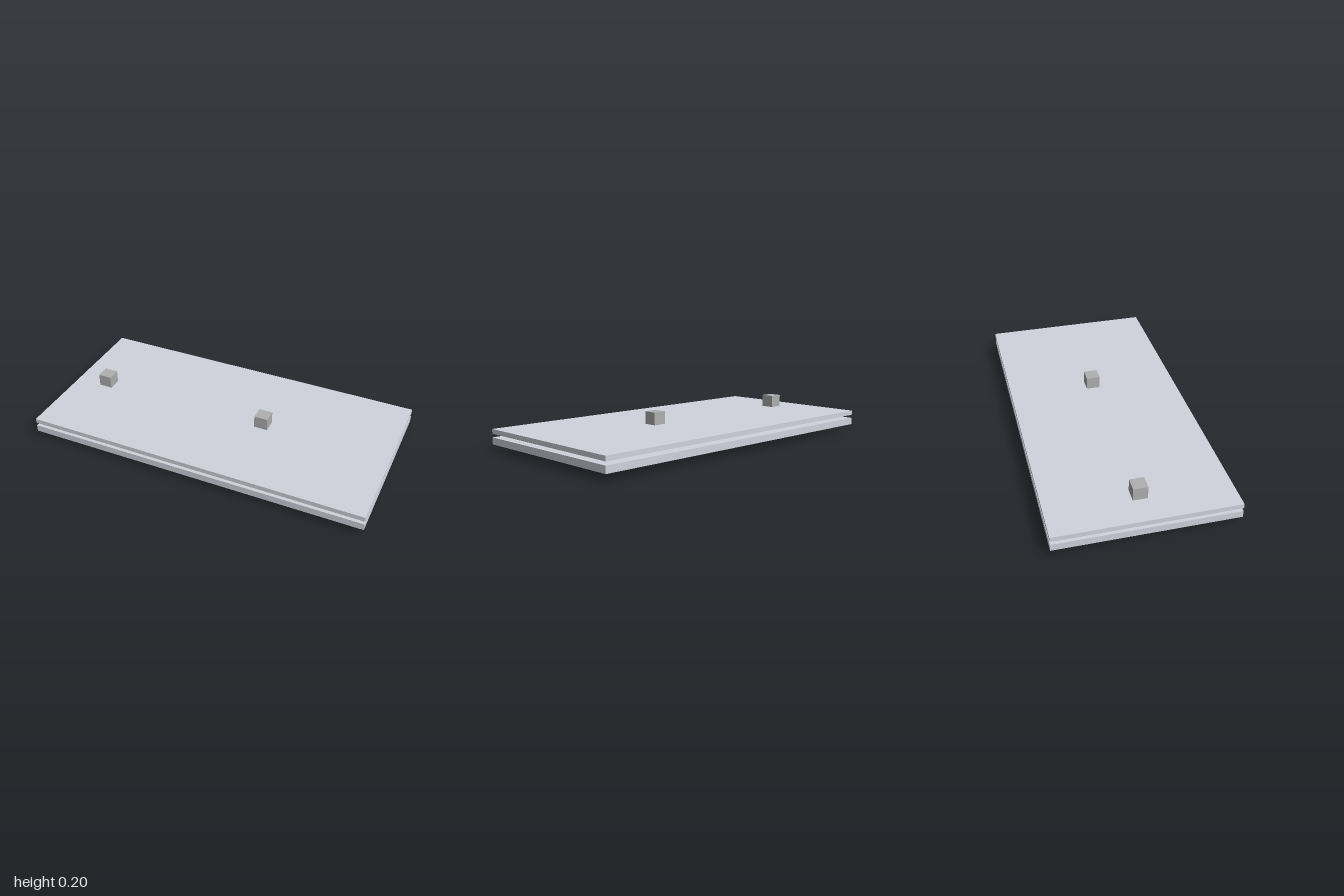
import * as THREE from 'three';

const PLATE = 0xd0d3de, BLOCK = 0xb0b0b0, PIN = 0xa3a3e0, PAD = 0xdd9090;

export function createModel() {
  const model = new THREE.Group();
  model.name = 'layeredPlates';

  // Box spanning y0..y1, centred on x and on z = 0
  const box = (name, color, x, width, y0, y1, depth) => {
    const mesh = new THREE.Mesh(
      new THREE.BoxGeometry(width, y1 - y0, depth),
      new THREE.MeshStandardMaterial({ color })
    );
    mesh.name = name;
    mesh.position.set(x, (y0 + y1) / 2, 0);
    model.add(mesh);
  };

  // Two stacked plates with a narrow gap
  box('lowerPlate', PLATE, 0, 2, 0.04, 0.08, 1);
  box('upperPlate', PLATE, 0, 2, 0.1, 0.127, 1);

  // Pads under the lower plate
  for (const x of [-0.6, 0.4]) box('footPad', PAD, x, 0.4, 0, 0.04, 0.2);

  // Blocks on top, each on a pin running down through both plates
  for (const x of [-0.8, 0.24]) {
    box('topBlock', BLOCK, x, 0.08, 0.12, 0.2, 0.08);
    box('pin', PIN, x, 0.057, 0.036, 0.12, 0.057);
  }
  return model;
}
